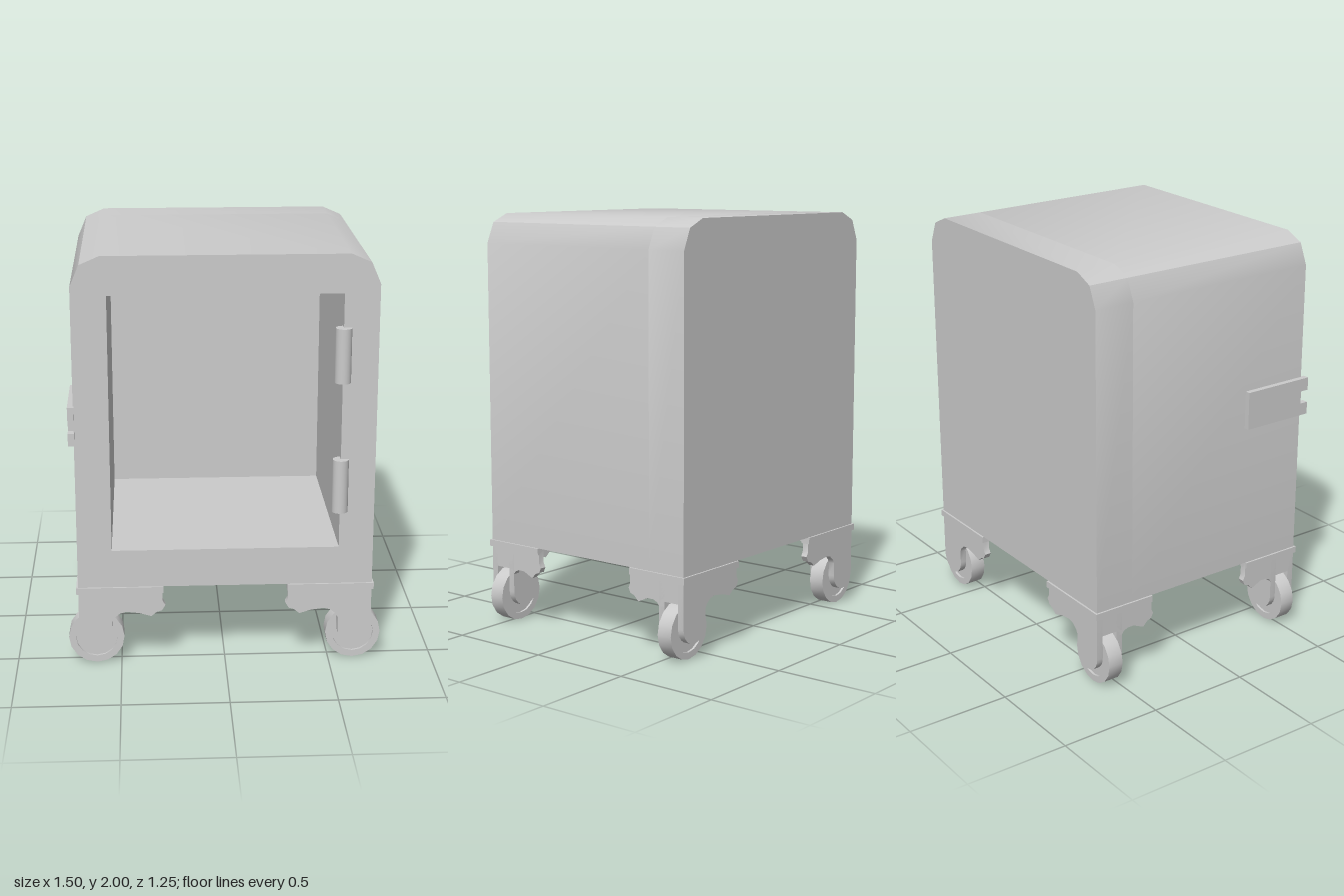
import * as THREE from 'three';
import { toCreasedNormals } from 'three/addons/utils/BufferGeometryUtils.js';

const ZC = -0.016; // z of the cabinet's middle
const HX = 0.7, HZ = 0.6; // cabinet half width and half depth
const BOTTOM = 0.404, T = 0.032; // cabinet underside, bracket thickness

export function createModel() {
  const model = new THREE.Group();
  const material = new THREE.MeshStandardMaterial({ color: 0xcccccc });

  function add(parent, name, geometry, x = 0, y = 0, z = 0) {
    const mesh = new THREE.Mesh(geometry, material);
    mesh.name = name;
    mesh.position.set(x, y, z);
    parent.add(mesh);
    return mesh;
  }
  const toShape = (pts) => new THREE.Shape(pts.map(([x, y]) => new THREE.Vector2(x, y)));
  const extrude = (shape, depth, crease = 0.6) => toCreasedNormals(
    new THREE.ExtrudeGeometry(shape, { depth, bevelEnabled: false, curveSegments: 8 }), crease);

  // Cabinet: hollow shell with a rounded top, closed by a back slab
  const outline = () => toShape([
    [-HX, BOTTOM], [HX, BOTTOM], [HX, 1.86], [0.657, 1.96], [0.565, 2],
    [-0.565, 2], [-0.657, 1.96], [-HX, 1.86],
  ]);
  const shell = outline();
  shell.holes.push(new THREE.Path([
    [-0.537, 0.59], [-0.537, 1.818], [0.537, 1.818], [0.537, 0.59],
  ].map(([x, y]) => new THREE.Vector2(x, y))));
  const backDepth = 0.2;
  add(model, 'cabinetShell', extrude(shell, 2 * HZ - backDepth), 0, 0, ZC - HZ + backDepth);
  add(model, 'cabinetBack', extrude(outline(), backDepth), 0, 0, ZC - HZ);

  // Door hinges
  for (const y of [0.9, 1.53]) {
    add(model, 'hinge', new THREE.CylinderGeometry(0.038, 0.038, 0.258, 20), 0.537, y, 0.584);
  }

  // Latch plate with a notched front end, drawn in (z, y)
  const latch = extrude(toShape([
    [0.24, 1.12], [0.607, 1.12], [0.607, 1.18], [0.565, 1.18],
    [0.565, 1.242], [0.607, 1.242], [0.607, 1.305], [0.24, 1.305],
  ]), 0.03);
  add(model, 'latch', latch.rotateY(-Math.PI / 2), -0.696);

  // Rounded fork arm, drawn from the outer corner inward
  const arm = [[0, BOTTOM]];
  for (let i = 0; i <= 12; i++) {
    const a = Math.PI * (1 + i / 12);
    arm.push([0.08 + 0.08 * Math.cos(a), 0.16 + 0.08 * Math.sin(a)]);
  }
  // Scalloped brackets, measured from the same corner
  const frontBracket = [...arm, [0.16, 0.225], [0.172, 0.247], [0.197, 0.267], [0.228, 0.275],
    [0.29, 0.267], [0.345, 0.25], [0.372, 0.272], [0.397, 0.28], [0.413, 0.307], [0.4, 0.33], [0.4, BOTTOM]];
  const sideBracket = [[0, BOTTOM], [0, 0.275], [0.112, 0.275], [0.113, 0.25], [0.143, 0.25],
    [0.152, 0.264], [0.175, 0.275], [0.21, 0.275], [0.265, 0.25], [0.29, 0.275], [0.313, 0.283],
    [0.323, 0.307], [0.313, 0.33], [0.313, BOTTOM]];

  // Wheel with a raised rim on both faces
  const wheelGeometry = toCreasedNormals(new THREE.LatheGeometry([
    [0, -0.027], [0.1, -0.027], [0.1, -0.038], [0.133, -0.038],
    [0.133, 0.038], [0.1, 0.038], [0.1, 0.027], [0, 0.027],
  ].map(([r, y]) => new THREE.Vector2(r, y)), 16), 0.6).rotateX(Math.PI / 2);

  // One caster leg per corner
  for (const sx of [-1, 1]) {
    for (const sz of [-1, 1]) {
      const leg = new THREE.Group();
      leg.name = (sz > 0 ? 'front' : 'back') + (sx > 0 ? 'Left' : 'Right') + 'Leg';
      model.add(leg);
      const zAt = (v) => ZC + sz * (HZ - v);
      const alongX = (pts) => extrude(toShape(pts.map(([u, y]) => [sx * (HX - u), y])), T);
      const side = extrude(toShape(sideBracket.map(([v, y]) => [zAt(v), y])), T).rotateY(-Math.PI / 2);

      add(leg, 'frontBracket', alongX(frontBracket), 0, 0, zAt(T / 2) - T / 2);
      add(leg, 'innerForkArm', alongX([...arm, [0.16, BOTTOM]]), 0, 0, zAt(0.143 - T / 2) - T / 2);
      add(leg, 'sideBracket', side, sx * (HX - T / 2) + T / 2);

      // L-shaped trim along the top of the bracket
      add(leg, 'trim', new THREE.BoxGeometry(0.414, BOTTOM - 0.372, 0.045),
        sx * 0.502, 0.388, zAt(0.0135));
      add(leg, 'trim', new THREE.BoxGeometry(0.045, BOTTOM - 0.372, 0.322),
        sx * 0.6865, 0.388, zAt(0.152));

      add(leg, 'wheel', wheelGeometry, sx * 0.618, 0.133, zAt(0.0715));
      add(leg, 'axle', new THREE.CylinderGeometry(0.03, 0.03, 0.12, 12).rotateX(Math.PI / 2),
        sx * 0.618, 0.133, zAt(0.0715));
    }
  }
  return model;
}
